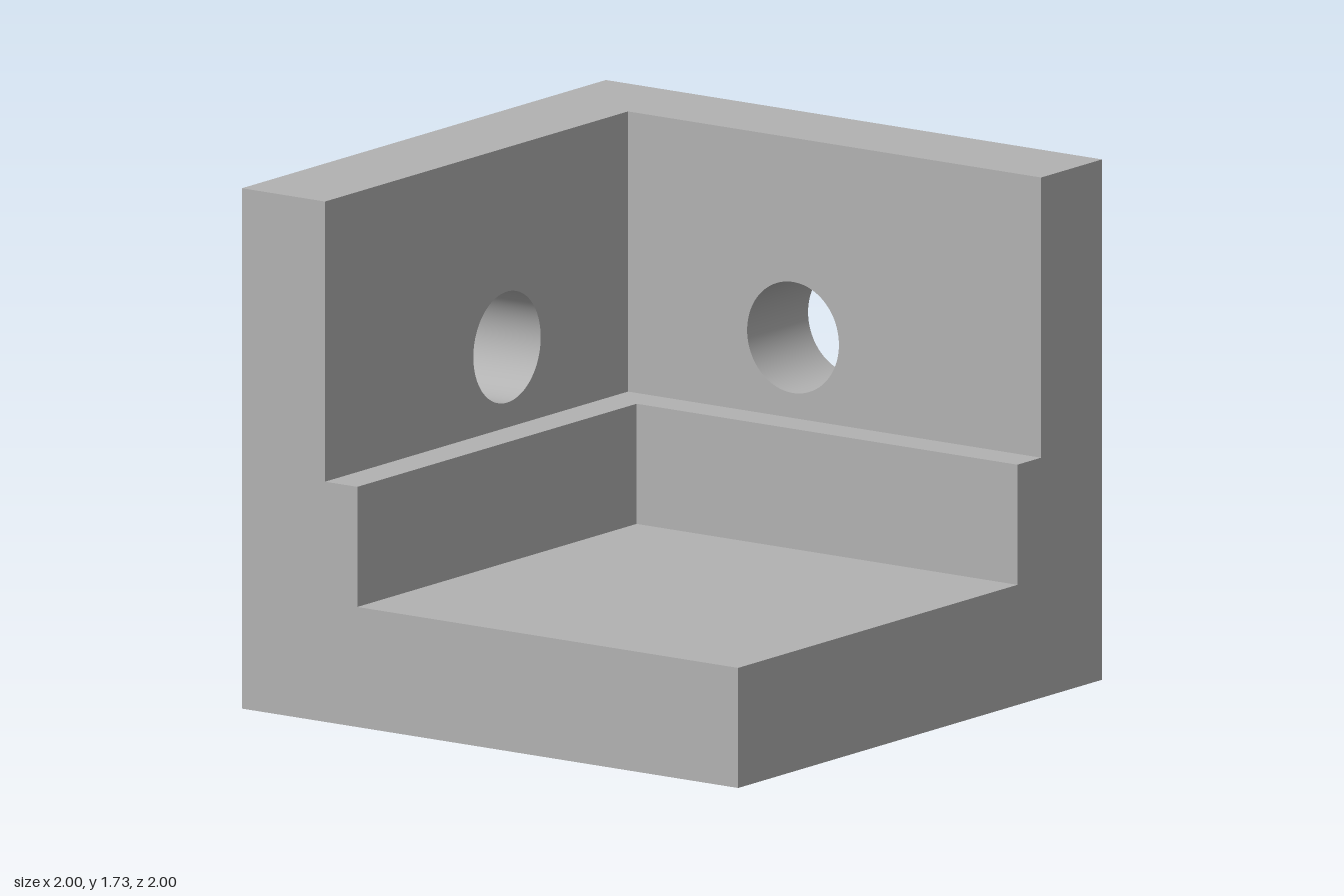
import * as THREE from 'three';
import { toCreasedNormals } from 'three/addons/utils/BufferGeometryUtils.js';

const HEIGHT = 1.733, FLOOR = 0.4, LEDGE = 0.8;
const WALL = 0.335, STEP = 0.465; // wall and ledge thickness
const HOLE_Y = 1.068, HOLE_R = 0.185;

export function createModel() {
  const grey = new THREE.MeshStandardMaterial({ color: 0xb2b2b2 });
  grey.name = 'plain grey';

  const model = new THREE.Group();
  model.name = 'cornerBracket';

  const add = (name, geometry) => {
    const mesh = new THREE.Mesh(geometry, grey);
    mesh.name = name;
    model.add(mesh);
    return mesh;
  };

  const extrude = (shape, depth) => toCreasedNormals(
    new THREE.ExtrudeGeometry(shape, { depth, bevelEnabled: false, curveSegments: 48 }), 0.6);

  const outline = (points) => new THREE.Shape(points.map(([x, y]) => new THREE.Vector2(x, y)));

  // Upright wall above the ledge, with a round hole through it
  const wall = (right) => {
    const shape = outline([[-1, LEDGE], [right, LEDGE], [right, HEIGHT], [-1, HEIGHT]]);
    const hole = new THREE.Path();
    hole.absarc(0, HOLE_Y, HOLE_R, 0, Math.PI * 2, true);
    shape.holes.push(hole);
    return extrude(shape, WALL);
  };

  // Square floor slab
  add('base', new THREE.BoxGeometry(2, FLOOR, 2).translate(0, FLOOR / 2, 0));

  // L-shaped ledge at the foot of both walls
  const inner = 1 - STEP;
  const ledge = outline([[-1, 1], [-1, inner], [inner, inner], [inner, -1], [1, -1], [1, 1]]);
  add('ledge', extrude(ledge, LEDGE - FLOOR).rotateX(-Math.PI / 2).translate(0, FLOOR, 0));

  // Back wall spans the full width; the left wall butts against it
  add('backWall', wall(1).translate(0, 0, -1));
  add('leftWall', wall(1 - WALL).rotateY(Math.PI / 2).translate(1 - WALL, 0, 0));

  return model;
}
